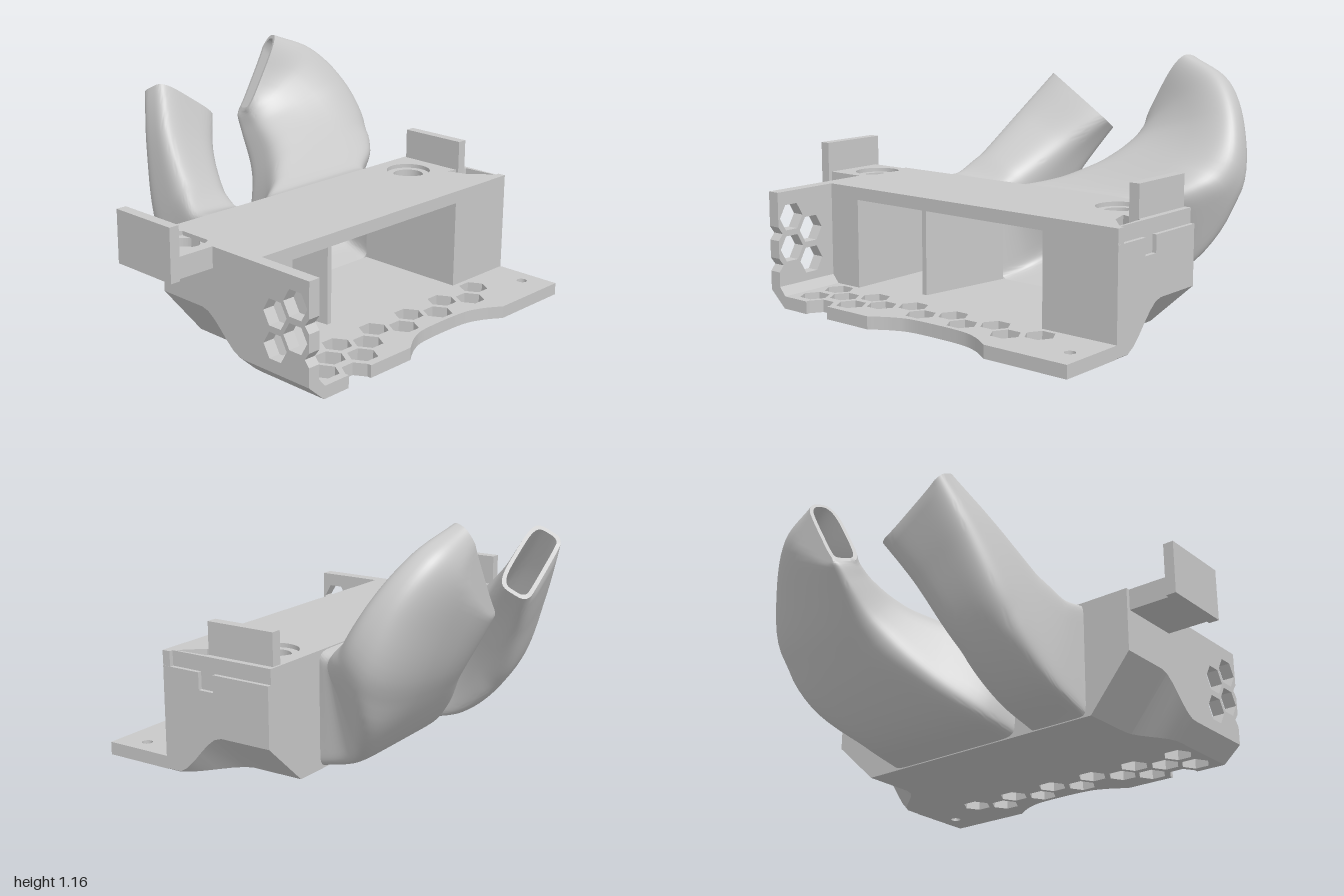
import * as THREE from 'three';
import { toCreasedNormals } from 'three/addons/utils/BufferGeometryUtils.js';

const V = (p) => new THREE.Vector3(...p);
const P = (list) => list.map(([x, y]) => new THREE.Vector2(x, y));

// Skin over a list of equally sized rings of Vector3; optional flat end caps
function loft(rings, capped) {
  const n = rings[0].length, idx = [];
  for (let i = 0; i < rings.length - 1; i++) {
    for (let j = 0; j < n; j++) {
      const a = i * n + j, b = i * n + (j + 1) % n;
      idx.push(a, b, b + n, a, b + n, a + n);
    }
  }
  if (capped) {
    const last = (rings.length - 1) * n;
    const flat = rings[0].map((p) => new THREE.Vector2(p.x, p.y));
    for (const [a, b, c] of THREE.ShapeUtils.triangulateShape(flat, [])) idx.push(a, c, b);
    const end = rings.at(-1).map((p) => new THREE.Vector2(p.x, p.y));
    for (const [a, b, c] of THREE.ShapeUtils.triangulateShape(end, [])) idx.push(last + a, last + b, last + c);
  }
  const g = new THREE.BufferGeometry().setFromPoints(rings.flat());
  g.setIndex(idx);
  return toCreasedNormals(g, capped ? 0.3 : 0.7);
}

// Hollow duct: each section is [-x end, +x end, half-thickness vector];
// squareness is the corner sharpness of the two ends beyond the boxy base
function duct(sections, squareness) {
  const [L, R, T] = [0, 1, 2].map((k) => new THREE.CatmullRomCurve3(sections.map((s) => V(s[k]))));
  const steps = 36, sides = 64;
  const ring = (t, inner) => {
    const l = L.getPoint(t), r = R.getPoint(t), v = T.getPoint(t);
    const c = l.clone().add(r).multiplyScalar(0.5), u = r.sub(c);
    if (inner) {
      u.setLength(u.length() - 0.02);
      v.setLength(v.length() - THREE.MathUtils.lerp(0.05, 0.018, Math.min(1, t * 2)));
    }
    const [eL, eR] = squareness.map((q) => 2 / THREE.MathUtils.lerp(14, q, Math.min(1, t * 2.2)));
    const pow = (q, e) => Math.sign(q) * Math.abs(q) ** e;
    return Array.from({ length: sides }, (_, j) => {
      const a = -(j + 0.5) / sides * Math.PI * 2;
      const e = Math.cos(a) < 0 ? eL : eR;
      const p = c.clone().addScaledVector(u, pow(Math.cos(a), e)).addScaledVector(v, pow(Math.sin(a), e));
      p.z = Math.max(p.z, inner ? -0.803 : -0.82); // flat back face
      return p;
    });
  };
  const rings = [];
  for (let i = 0; i <= steps; i++) rings.push(ring(i / steps, false));
  for (let i = steps; i >= 0; i--) rings.push(ring(i / steps, true));
  return loft(rings, false);
}

const hexagon = (x, y, r = 0.07) => new THREE.Path(P(Array.from({ length: 6 }, (_, i) =>
  [x + r * Math.cos(i * Math.PI / 3), y + r * Math.sin(i * Math.PI / 3)])));

const circle = (x, y, r) => new THREE.Path().absarc(x, y, r, 0, Math.PI * 2, true);

function extrude(shape, depth, holes = []) {
  shape.holes.push(...holes);
  return new THREE.ExtrudeGeometry(shape, { depth, bevelEnabled: false, curveSegments: 32 });
}

// Horizontal plate drawn in x, z with its top at the given height
const plate = (shape, top, depth, holes) =>
  extrude(shape, depth, holes).rotateX(Math.PI / 2).translate(0, top, 0);

export function createModel() {
  const group = new THREE.Group();
  const grey = new THREE.MeshStandardMaterial({ color: 0xc8c8c8, side: THREE.DoubleSide });
  grey.name = 'grey plastic';
  const add = (name, geometry) => {
    const m = new THREE.Mesh(geometry, grey);
    m.name = name;
    group.add(m);
  };
  const box = (name, x0, x1, y0, y1, z0, z1) => add(name,
    new THREE.BoxGeometry(x1 - x0, y1 - y0, z1 - z0).translate((x0 + x1) / 2, (y0 + y1) / 2, (z0 + z1) / 2));

  // Housing floor and the wedge that splits the two air channels
  box('housingFloor', -0.51, 0.61, 0, 0.06, -0.1, 0.48);
  add('channelDivider', plate(new THREE.Shape(P([[-0.25, -0.1], [-0.09, -0.1], [-0.16, 0.38], [-0.185, 0.38]])), 0.49, 0.43));

  // Solid cheeks either side, chamfered below and flaring out to the shelf
  const flare = (z) => 1 - THREE.MathUtils.smoothstep(z, 0.16, 0.42);
  const zs = [-0.1, 0.16, 0.199, 0.2, 0.24, 0.279, 0.28, 0.32, 0.36, 0.4, 0.439, 0.44, 0.48];
  add('leftCheek', loft(zs.map((z) => {
    const c = Math.max(0.003, 0.2 * flare(z));
    const s = z >= 0.2 && z < 0.28 ? 0.4 : 0.48, sx = z < 0.44 ? 0.98 : 0.999;
    return [[0.61, 0], [1 - 1.1 * c, 0], [1, c], [1, s], [sx, s], [sx, 0.49], [0.61, 0.49]].map(([x, y]) => V([x, y, z]));
  }), true));
  add('rightCheek', loft(zs.map((z) => {
    const f = flare(z), h = 0.08 + 0.17 * f, w = 0.09 + 0.12 * f;
    return [[-0.75, h], [-0.75 + w, 0], [-0.51, 0], [-0.51, 0.49], [-0.75, 0.49]].map(([x, y]) => V([x, y, z]));
  }), true));

  // Top plate with the mounting arm, screw recesses and latch pocket
  const top = new THREE.Shape(P([[-0.75, -0.1], [0.98, -0.1], [0.98, 0.44], [1, 0.44], [1, 0.48], [-0.75, 0.48],
    [-0.75, 0.235], [-0.95, 0.235], [-0.95, -0.08], [-0.75, -0.08]]));
  const clip = Math.acos(0.07 / 0.11);
  add('topPlate', plate(top, 0.55, 0.06, [
    circle(0.725, 0.075, 0.11),
    new THREE.Path().absarc(-0.78, 0.075, 0.11, clip, Math.PI * 2 - clip, false),
    new THREE.Path(P([[0.85, 0.23], [0.88, 0.33], [0.97, 0.43], [0.96, 0.265]])),
  ]));
  for (const x of [-0.78, 0.725]) {
    add('screwSeat', plate(new THREE.Shape().absarc(x, 0.075, 0.11, 0, Math.PI * 2), 0.53, 0.04, [circle(x, 0.075, 0.075)]));
  }

  // Mounting tabs
  box('mountArm', -0.95, -0.75, 0.45, 0.49, -0.08, 0.235);
  box('rightTab', -1, -0.95, 0.45, 0.7, -0.1, 0.255);
  box('leftTab', 0.9, 0.95, 0.53, 0.7, -0.09, 0.26);

  // Front shelf with honeycomb vents and a curved cut in its edge
  const shelf = new THREE.Shape(P([[-0.66, 0.48], [1, 0.48], [1, 0.82], [0.57, 0.82]]));
  shelf.splineThru(P([[0.47, 0.76], [0.35, 0.73], [0.1, 0.73], [-0.01, 0.76], [-0.11, 0.82]]));
  for (const [x, z] of [[-0.37, 0.82], [-0.37, 0.8], [-0.405, 0.745], [-0.475, 0.745], [-0.51, 0.8], [-0.51, 0.82], [-0.66, 0.82]]) shelf.lineTo(x, z);
  const vents = [circle(0.91, 0.68, 0.025)];
  for (let i = 0; i < 6; i++) vents.push(hexagon(-0.56 + i * 0.245, 0.565));
  for (let i = 0; i < 5; i++) vents.push(hexagon(-0.44 + i * 0.245, 0.643));
  for (let i = 0; i < 2; i++) vents.push(hexagon(-0.56 + i * 0.245, 0.72));
  add('shelf', plate(shelf, 0.06, 0.06, vents));

  // Honeycomb side wall, drawn in z, y, and the angled strip joining it to the shelf
  const wall = new THREE.Shape(P([[0.48, 0.1], [0.82, 0.1], [0.82, 0.17], [0.795, 0.2], [0.82, 0.235],
    [0.82, 0.32], [0.795, 0.35], [0.82, 0.385], [0.82, 0.55], [0.48, 0.55]]));
  const wallVents = [[0.74, 0.425], [0.74, 0.275], [0.62, 0.35], [0.62, 0.2]].map(([z, y]) => hexagon(z, y));
  add('sideWall', extrude(wall, 0.06, wallVents).rotateY(-Math.PI / 2).translate(-0.69, 0, 0));
  add('wallFoot', extrude(new THREE.Shape(P([[-0.75, 0.08], [-0.66, 0], [-0.655, 0.06], [-0.69, 0.1], [-0.75, 0.1]])), 0.34).translate(0, 0, 0.48));

  // Two curved ducts whose slot mouths face each other
  add('rightDuct', duct([
    [[-0.515, 0.275, -0.1], [-0.2, 0.275, -0.1], [0, 0.27, 0]],
    [[-0.5, 0.33, -0.27], [-0.19, 0.29, -0.27], [0, 0.22, 0.07]],
    [[-0.45, 0.53, -0.46], [-0.13, 0.41, -0.46], [0, 0.15, 0.12]],
    [[-0.365, 0.79, -0.63], [-0.03, 0.61, -0.63], [0, 0.08, 0.1]],
    [[-0.27, 1.01, -0.755], [0.085, 0.78, -0.755], [0.015, 0.04, 0.075]],
  ], [4, 4]));
  add('leftDuct', duct([
    [[-0.12, 0.275, -0.1], [0.635, 0.275, -0.1], [0, 0.27, 0]],
    [[-0.07, 0.3, -0.21], [0.67, 0.3, -0.23], [0, 0.24, 0.06]],
    [[0.1, 0.41, -0.37], [0.86, 0.42, -0.38], [0, 0.18, 0.11]],
    [[0.27, 0.58, -0.55], [0.98, 0.62, -0.515], [0, 0.12, 0.12]],
    [[0.32, 0.7, -0.68], [0.925, 0.87, -0.62], [0, 0.06, 0.11]],
    [[0.335, 0.76, -0.74], [0.78, 1.06, -0.71], [-0.01, 0.03, 0.1]],
    [[0.345, 0.78, -0.76], [0.56, 1.16, -0.755], [-0.025, 0.02, 0.075]],
  ], [4.5, 2.8]));

  return group;
}
